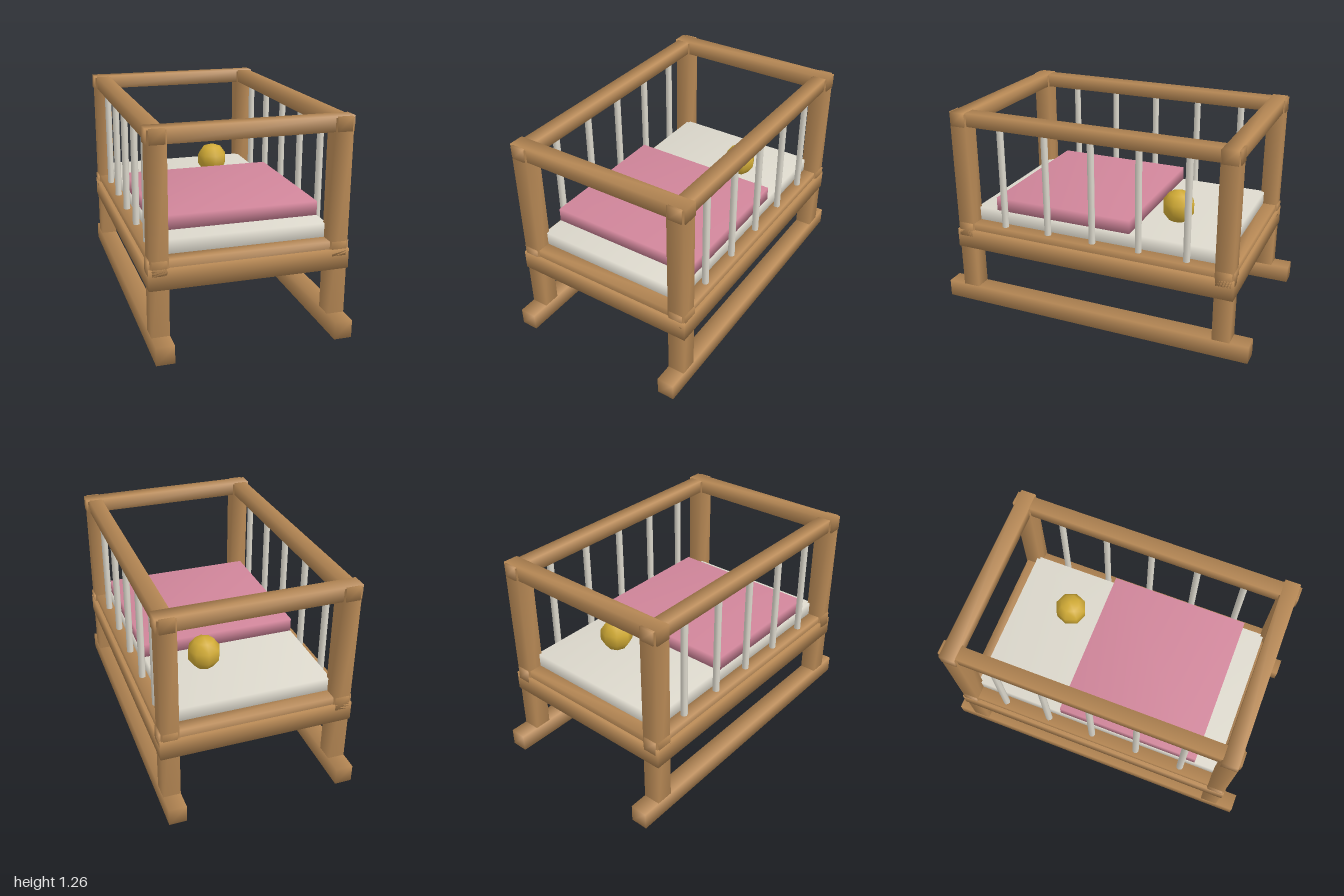
import * as THREE from 'three';
import { mergeVertices } from 'three/addons/utils/BufferGeometryUtils.js';

const wood = new THREE.MeshStandardMaterial({ color: 0xb98a56 });
const cream = new THREE.MeshStandardMaterial({ color: 0xdcd8cc });
const pink = new THREE.MeshStandardMaterial({ color: 0xd0859a });
const yellow = new THREE.MeshStandardMaterial({ color: 0xd0aa35 });

// box with welded corners, so its shading rolls softly over the edges
function softBox(w, h, d) {
  let geometry = new THREE.BoxGeometry(w, h, d);
  geometry.deleteAttribute('normal');
  geometry.deleteAttribute('uv');
  geometry = mergeVertices(geometry);
  geometry.computeVertexNormals();
  return geometry;
}

export function createModel() {
  const cot = new THREE.Group();
  cot.name = 'cradle';

  const add = (name, geometry, material, x, y, z) => {
    const mesh = new THREE.Mesh(geometry, material);
    mesh.name = name;
    mesh.position.set(x, y, z);
    cot.add(mesh);
    return mesh;
  };

  const postX = 0.517, postZ = 0.835;

  // base board, mattress, blanket and ball
  add('baseBoard', softBox(1.155, 0.12, 1.79), wood, 0, 0.445, 0);
  add('mattress', softBox(0.96, 0.13, 1.6), cream, 0, 0.567, 0);
  add('blanket', softBox(0.96, 0.087, 0.89), pink, 0, 0.673, 0.212);
  add('ball', new THREE.SphereGeometry(0.103, 8, 5), yellow, 0.167, 0.72, -0.425);

  for (const side of [-1, 1]) {
    const sideName = side > 0 ? 'left' : 'right';

    // straight runner under each side
    add(sideName + 'Runner', softBox(0.105, 0.107, 2), wood, side * postX, 0.0535, 0);

    // corner posts running from the runner to the top rail
    for (const end of [-1, 1]) {
      add(sideName + (end > 0 ? 'FrontPost' : 'BackPost'),
        softBox(0.104, 1.245, 0.106), wood, side * postX, 0.633, end * postZ);
    }

    // upright bars
    for (let i = 0; i < 5; i++) {
      add(sideName + 'Bar', new THREE.CylinderGeometry(0.021, 0.021, 0.66, 8), cream,
        side * postX, 0.865, 0.58 - i * 0.295);
    }
  }

  // upper and lower rails: along the sides, and across both ends
  for (const [level, y] of [['upper', 1.222], ['lower', 0.507]]) {
    for (const s of [-1, 1]) {
      add(level + 'SideRail', softBox(0.085, 0.083, 1.79), wood, s * postX, y, 0);
      add(level + 'EndRail', softBox(1.155, 0.086, 0.093), wood, 0, y, s * postZ);
    }
  }
  return cot;
}
